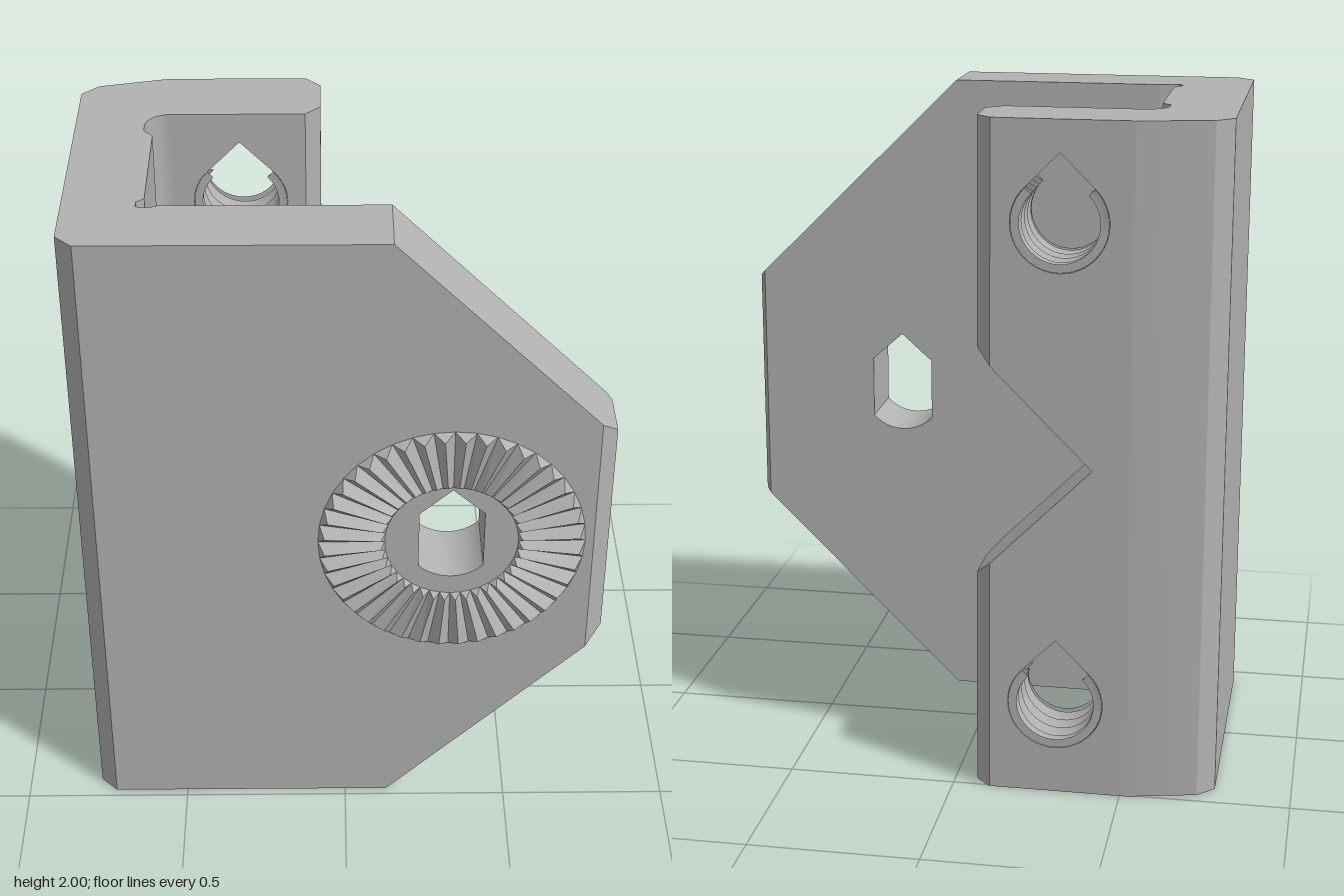
import * as THREE from 'three';
import { toCreasedNormals } from 'three/addons/utils/BufferGeometryUtils.js';

const PLATE_BACK = 0.262, PLATE_FRONT = 0.475;
const FLANGE_BACK = -0.507, FLANGE_FRONT = -0.275;
const HUB_X = 0.31, HUB_Y = 1;

const toShape = (pts) => new THREE.Shape(pts.map(([x, y]) => new THREE.Vector2(x, y)));

// Extrudes an [x, y] shape between two z planes
function extrudeZ(shape, z0, z1) {
  const g = new THREE.ExtrudeGeometry(shape, { depth: z1 - z0, bevelEnabled: false, curveSegments: 24 });
  return g.translate(0, 0, z0);
}

// Extrudes an [x, z] profile upward; end heights may slope with x
function extrudeY(profile, bottom, top) {
  const g = new THREE.ExtrudeGeometry(toShape(profile.map(([x, z]) => [x, -z])), { depth: 1, bevelEnabled: false });
  g.rotateX(-Math.PI / 2);
  const p = g.attributes.position;
  for (let i = 0; i < p.count; i++) p.setY(i, p.getY(i) < 0.5 ? bottom(p.getX(i)) : top(p.getX(i)));
  return g;
}

// Round hole with a pointed 45 degree roof
function teardrop(cx, cy, r) {
  const path = new THREE.Path();
  path.moveTo(cx + r * Math.SQRT1_2, cy + r * Math.SQRT1_2);
  path.absarc(cx, cy, r, Math.PI / 4, 3 * Math.PI / 4, true);
  path.lineTo(cx, cy + r * Math.SQRT2);
  path.closePath();
  return path;
}

// Helical thread lining the round part of a hole
function threadGeometry() {
  const pitch = 0.058, pts = [];
  for (let k = 11; k >= -3; k--) {
    pts.push(new THREE.Vector2(k % 2 ? 0.114 : 0.139, FLANGE_BACK + k * pitch / 2));
  }
  const g = new THREE.LatheGeometry(pts, 30, -3 * Math.PI / 4, 3 * Math.PI / 2);
  g.rotateX(Math.PI / 2);
  const p = g.attributes.position;
  for (let i = 0; i < p.count; i++) {
    const angle = Math.atan2(p.getX(i), -p.getY(i));
    const z = p.getZ(i) + pitch * angle / (2 * Math.PI);
    p.setZ(i, THREE.MathUtils.clamp(z, FLANGE_BACK + 0.001, FLANGE_FRONT - 0.001));
  }
  return g;
}

// Ring of radial wedge teeth
function serrationGeometry(count) {
  const v = [], step = 2 * Math.PI / count;
  const P = (a, r, z) => [HUB_X + r * Math.cos(a), HUB_Y + r * Math.sin(a), z];
  const tri = (a, b, c) => v.push(...a, ...b, ...c);
  for (let i = 0; i < count; i++) {
    const a0 = i * step, a1 = a0 + step, am = a0 + step / 2;
    const outer0 = P(a0, 0.39, PLATE_FRONT), inner0 = P(a0, 0.195, PLATE_FRONT);
    const outer1 = P(a1, 0.39, PLATE_FRONT), inner1 = P(a1, 0.195, PLATE_FRONT);
    const ridgeOut = P(am, 0.372, 0.506), ridgeIn = P(am, 0.208, 0.498);
    tri(inner0, outer0, ridgeOut);
    tri(inner0, ridgeOut, ridgeIn);
    tri(ridgeIn, ridgeOut, outer1);
    tri(ridgeIn, outer1, inner1);
    tri(outer0, outer1, ridgeOut);
    tri(inner1, inner0, ridgeIn);
  }
  const g = new THREE.BufferGeometry();
  g.setAttribute('position', new THREE.Float32BufferAttribute(v, 3));
  return g;
}

export function createModel() {
  const model = new THREE.Group();
  model.name = 'clampBracket';
  const grey = new THREE.MeshStandardMaterial({ color: 0xb2b2b2 });
  grey.name = 'grey';

  function add(name, geometry, crease = 0.5) {
    const mesh = new THREE.Mesh(toCreasedNormals(geometry, crease), grey);
    mesh.name = name;
    model.add(mesh);
    return mesh;
  }

  // Side wall with chamfered outer corners, rounded and relieved inner corners
  const fillet = [];
  for (let i = 0; i <= 8; i++) {
    const a = (i / 8) * Math.PI / 2;
    fillet.push([-0.505 - 0.07 * Math.sin(a), -0.205 - 0.07 * Math.cos(a)]);
  }
  add('sideWall', extrudeY([
    [-0.775, -0.41], [-0.725, -0.46], [-0.52, FLANGE_BACK], [-0.5, FLANGE_BACK], [-0.5, FLANGE_FRONT],
    ...fillet,
    [-0.575, -0.175], [-0.548, -0.145], [-0.548, 0.222], [-0.57, 0.242], [-0.57, 0.264], [-0.56, 0.272],
    [-0.535, 0.272], [-0.51, PLATE_BACK], [-0.5, PLATE_BACK], [-0.5, PLATE_FRONT],
    [-0.725, PLATE_FRONT], [-0.775, 0.425],
  ], () => 0, () => 2));

  // Front plate with cut corners and a pointed slot
  const half = (x) => 1 - (x - 0.13) * 0.992;
  const plate = toShape([[-0.5, 0], [0.13, 0], [0.725, 1 - half(0.725)], [0.725, 1 + half(0.725)], [0.13, 2], [-0.5, 2]]);
  const slot = new THREE.Path();
  const slotAngle = Math.atan2(0.09, 0.095);
  slot.moveTo(0.405, 1.1);
  slot.lineTo(0.405, 0.91);
  slot.absarc(HUB_X, HUB_Y, 0.131, -slotAngle, slotAngle - Math.PI, true);
  slot.lineTo(0.215, 1.1);
  slot.lineTo(HUB_X, 1.185);
  slot.closePath();
  plate.holes.push(slot);
  add('frontPlate', extrudeZ(plate, PLATE_BACK, PLATE_FRONT));

  // Chamfered free edge of the front plate
  add('frontPlateEdge', extrudeY([
    [0.725, PLATE_BACK], [0.76, PLATE_BACK], [0.775, 0.277], [0.775, 0.425], [0.725, PLATE_FRONT],
  ], (x) => 1 - half(x), (x) => 1 + half(x)));

  add('serratedRing', serrationGeometry(40), 0.01);

  // Back flange with a V notch and two screw holes
  const notchX = -0.405, edgeX = -0.11;
  const notch = (x) => x - notchX;
  const flange = toShape([
    [-0.5, 0], [edgeX, 0], [edgeX, 1 - notch(edgeX)], [notchX, 1],
    [edgeX, 1 + notch(edgeX)], [edgeX, 2], [-0.5, 2],
  ]);
  const holeX = -0.305, holeHeights = [0.28, 1.71];
  holeHeights.forEach((y) => flange.holes.push(teardrop(holeX, y, 0.14)));
  add('backFlange', extrudeZ(flange, FLANGE_BACK, FLANGE_FRONT));

  // Chamfered free edge of the flange, broken by the notch
  const lip = [
    [edgeX, FLANGE_BACK], [-0.065, -0.46], [-0.065, -0.32], [edgeX, FLANGE_FRONT],
  ];
  add('lowerFlangeEdge', extrudeY(lip, () => 0, (x) => 1 - notch(x)));
  add('upperFlangeEdge', extrudeY(lip, (x) => 1 + notch(x), () => 2));

  // Screw threads
  holeHeights.forEach((y, i) => {
    add(i ? 'upperThread' : 'lowerThread', threadGeometry()).position.set(holeX, y, 0);
  });

  return model;
}
